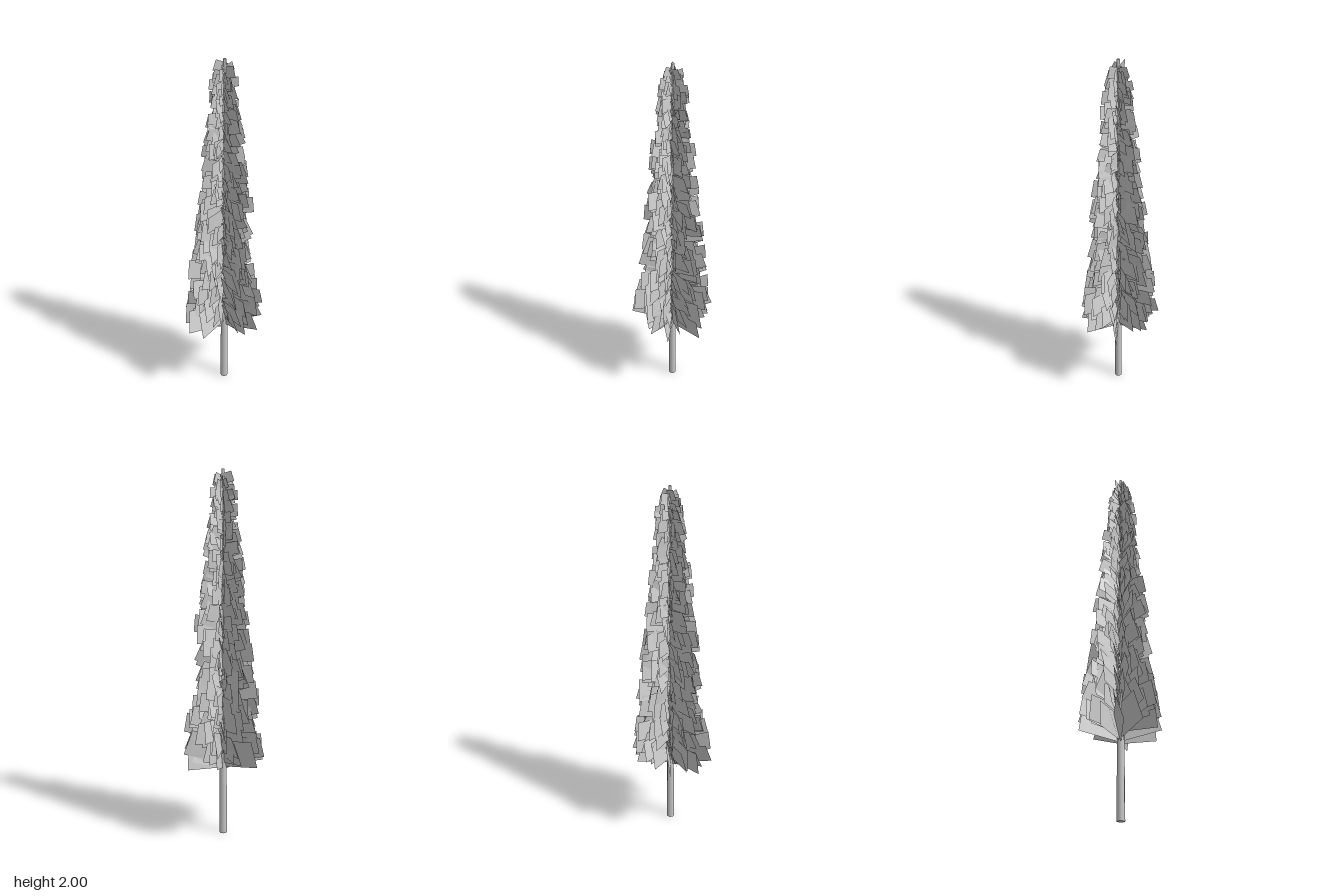
import * as THREE from 'three';

// Small seeded generator for the irregular foliage
function seeded(seed) {
  return () => {
    seed = (seed * 1664525 + 1013904223) % 4294967296;
    return seed / 4294967296;
  };
}

export function createModel() {
  const tree = new THREE.Group();
  tree.name = 'coniferTree';
  const bark = new THREE.MeshStandardMaterial({ color: 0xcccccc });
  const needles = new THREE.MeshStandardMaterial({
    color: 0xcccccc, flatShading: true, side: THREE.DoubleSide,
  });

  // Slender tapering trunk, visible at the foot and the tip
  const trunk = new THREE.Mesh(new THREE.CylinderGeometry(0.008, 0.022, 2, 8), bark);
  trunk.name = 'trunk';
  trunk.position.y = 1;
  tree.add(trunk);

  // Foliage: radial cards that shrink towards the tip, each rising outwards
  const foliage = new THREE.Group();
  foliage.name = 'foliage';
  const card = new THREE.PlaneGeometry(1, 1).translate(0.5, 0.5, 0); // hinged at the trunk
  const random = seeded(7);
  const vary = (mid, spread) => mid + (random() * 2 - 1) * spread;
  const count = 460;
  for (let i = 0; i < count; i++) {
    const t = i / (count - 1);
    const reach = 0.062 + 0.165 * (1 - t) ** 0.9 + 0.025 * Math.max(0, 1 - t * 8);
    const length = reach * vary(0.88, 0.17);
    const branch = new THREE.Mesh(card, needles);
    branch.name = 'branchCard';
    branch.scale.set(length, (0.02 + 0.47 * reach) * vary(1, 0.15), 1);
    branch.position.y = 0.38 + 1.54 * t + vary(0, 0.008);
    // twist about the branch, then pitch up, then turn around the trunk
    branch.rotation.set(vary(0.1, 0.2), i * 2.39996 + vary(0, 0.4), vary(0.24, 0.17), 'YZX');
    foliage.add(branch);
  }
  tree.add(foliage);
  return tree;
}
